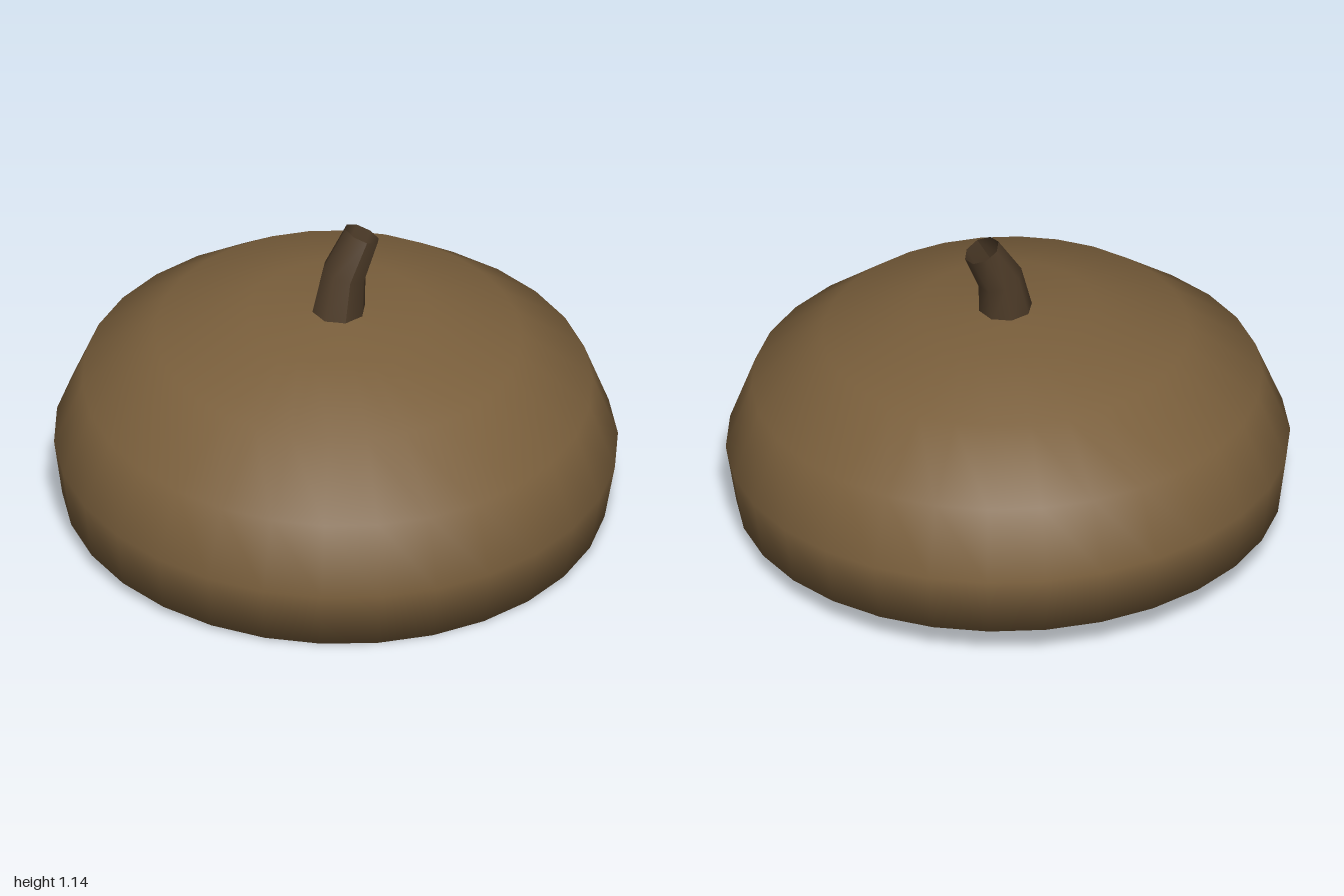
import * as THREE from 'three';

export function createModel() {
  const model = new THREE.Group();

  // Domed cap with a flat underside, tipped forward
  const profile = [
    [0, 0.07], [0.967, 0.07], [1, 0.29], [0.905, 0.535],
    [0.65, 0.73], [0.322, 0.826], [0, 0.842],
  ].map(([r, y]) => new THREE.Vector2(r, y));
  const cap = new THREE.Mesh(
    new THREE.LatheGeometry(profile, 30, Math.PI / 2),
    new THREE.MeshStandardMaterial({ color: 0x7a5f3c })
  );
  cap.name = 'cap';
  cap.rotation.x = 0.073;
  cap.position.z = -0.02;
  model.add(cap);

  // Bent, tapering stem, open at the tip: rings from tip to base
  const rings = [
    { x: 0.095, y: 1.113, z: 0.004, r: 0.067, tilt: 0.43 },
    { x: 0.025, y: 0.975, z: 0.02, r: 0.082, tilt: 0.32 },
    { x: 0, y: 0.82, z: 0.03, r: 0.098, tilt: 0 },
  ];
  const stemGeometry = new THREE.CylinderGeometry(1, 1, 2, 8, 2, true);
  const pos = stemGeometry.attributes.position;
  for (let i = 0; i < pos.count; i++) {
    const { x, y, z, r, tilt } = rings[Math.round(1 - pos.getY(i))];
    const px = pos.getX(i) * r;
    pos.setXYZ(i, x + px * Math.cos(tilt), y - px * Math.sin(tilt), z + pos.getZ(i) * r);
  }
  stemGeometry.computeVertexNormals();
  const stem = new THREE.Mesh(
    stemGeometry,
    new THREE.MeshStandardMaterial({ color: 0x4d3b28, side: THREE.DoubleSide })
  );
  stem.name = 'stem';
  model.add(stem);

  return model;
}
